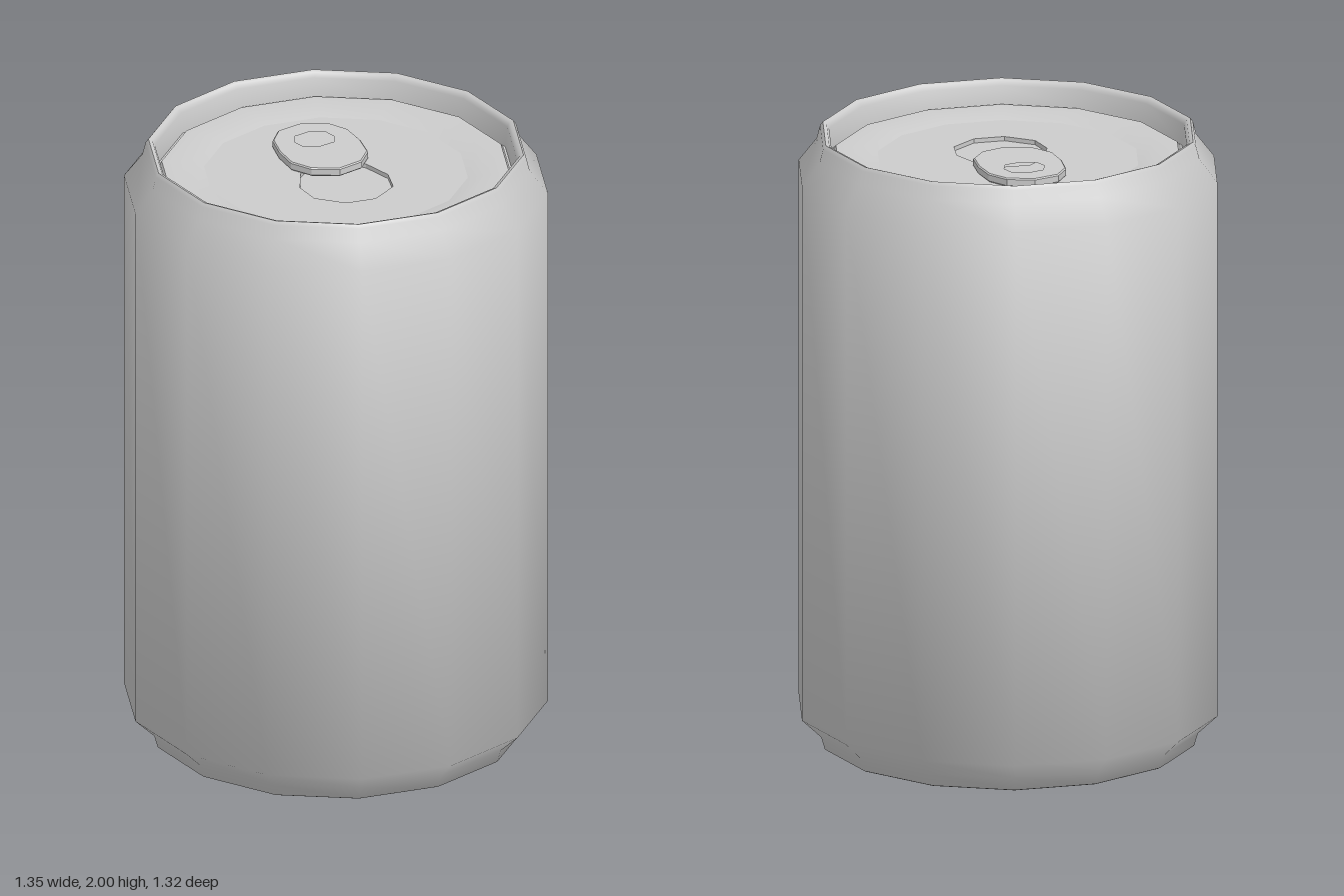
import * as THREE from 'three';
import { toCreasedNormals } from 'three/addons/utils/BufferGeometryUtils.js';

const SIDES = 14;
const PANEL_R = 0.42;
const PANEL_Y = 1.913;

export function createModel() {
  const group = new THREE.Group();
  const material = new THREE.MeshStandardMaterial({ color: 0xcccccc });

  const add = (name, geometry, y = 0) => {
    const mesh = new THREE.Mesh(geometry, material);
    mesh.name = name;
    mesh.position.y = y;
    group.add(mesh);
    return mesh;
  };

  // Revolved part with a corner on the x axis; profile is [radius, height]
  const turned = (profile) => toCreasedNormals(new THREE.LatheGeometry(
    profile.map(([r, y]) => new THREE.Vector2(r, y)), SIDES, Math.PI / 2), 1.0);

  // Full outline from the right half, given as [x, z] from back to front
  const mirrored = (half) => {
    const right = half.map(([x, z]) => new THREE.Vector2(x, -z));
    const left = half.filter(([x]) => x > 0).map(([x, z]) => new THREE.Vector2(-x, -z));
    return [...right, ...left.reverse()];
  };

  // Horizontal plate standing on y = 0
  const plate = (outline, hole, depth, bevel = 0) => {
    const shape = new THREE.Shape(outline);
    if (hole) shape.holes.push(new THREE.Path(hole));
    const geometry = new THREE.ExtrudeGeometry(shape, {
      depth: depth - bevel, bevelEnabled: bevel > 0, bevelSize: bevel,
      bevelThickness: bevel, bevelOffset: -bevel, bevelSegments: 1,
    });
    return geometry.rotateX(-Math.PI / 2);
  };

  // Concave underside
  add('base', turned([[0, 0.1], [0.2, 0.092], [0.4, 0.072], [0.57, 0.042]]));

  // Foot, side wall, shoulder and rolled rim
  add('body', turned([
    [0.57, 0.042], [0.583, 0.004], [0.592, 0], [0.6, 0.004], [0.612, 0.045],
    [0.675, 0.105], [0.675, 1.87], [0.617, 1.945], [0.606, 1.988],
    [0.597, 2], [0.585, 1.996], [0.577, 1.98], [0.57, 1.912],
  ]));

  // Lid: groove, raised ledge and step down to the panel
  add('lidRing', turned([
    [0.57, 1.912], [0.563, 1.912], [0.555, 1.925], [0.475, 1.925], [PANEL_R, PANEL_Y],
  ]));

  // Panel with the pressed mouth
  const panel = Array.from({ length: SIDES }, (_, i) => {
    const a = (i / SIDES) * Math.PI * 2;
    return new THREE.Vector2(PANEL_R * Math.cos(a), PANEL_R * Math.sin(a));
  });
  const mouth = mirrored([
    [0.05, -0.09], [0.11, -0.025], [0.148, 0.075], [0.133, 0.165], [0.05, 0.233],
  ]);
  add('lidPanel', plate(panel, mouth, 0.015), PANEL_Y - 0.015);
  add('mouthFloor', new THREE.ShapeGeometry(new THREE.Shape(mouth)).rotateX(-Math.PI / 2),
    PANEL_Y - 0.014);

  // Pull tab with finger hole
  const tab = mirrored([
    [0, -0.333], [0.085, -0.305], [0.127, -0.24], [0.137, -0.15],
    [0.13, -0.06], [0.085, 0.005], [0, 0.037],
  ]);
  const fingerHole = mirrored([
    [0, -0.263], [0.055, -0.245], [0.07, -0.2], [0.055, -0.158], [0, -0.142],
  ]);
  add('pullTab', plate(tab, fingerHole, 0.024, 0.004), PANEL_Y + 0.004);

  return group;
}
